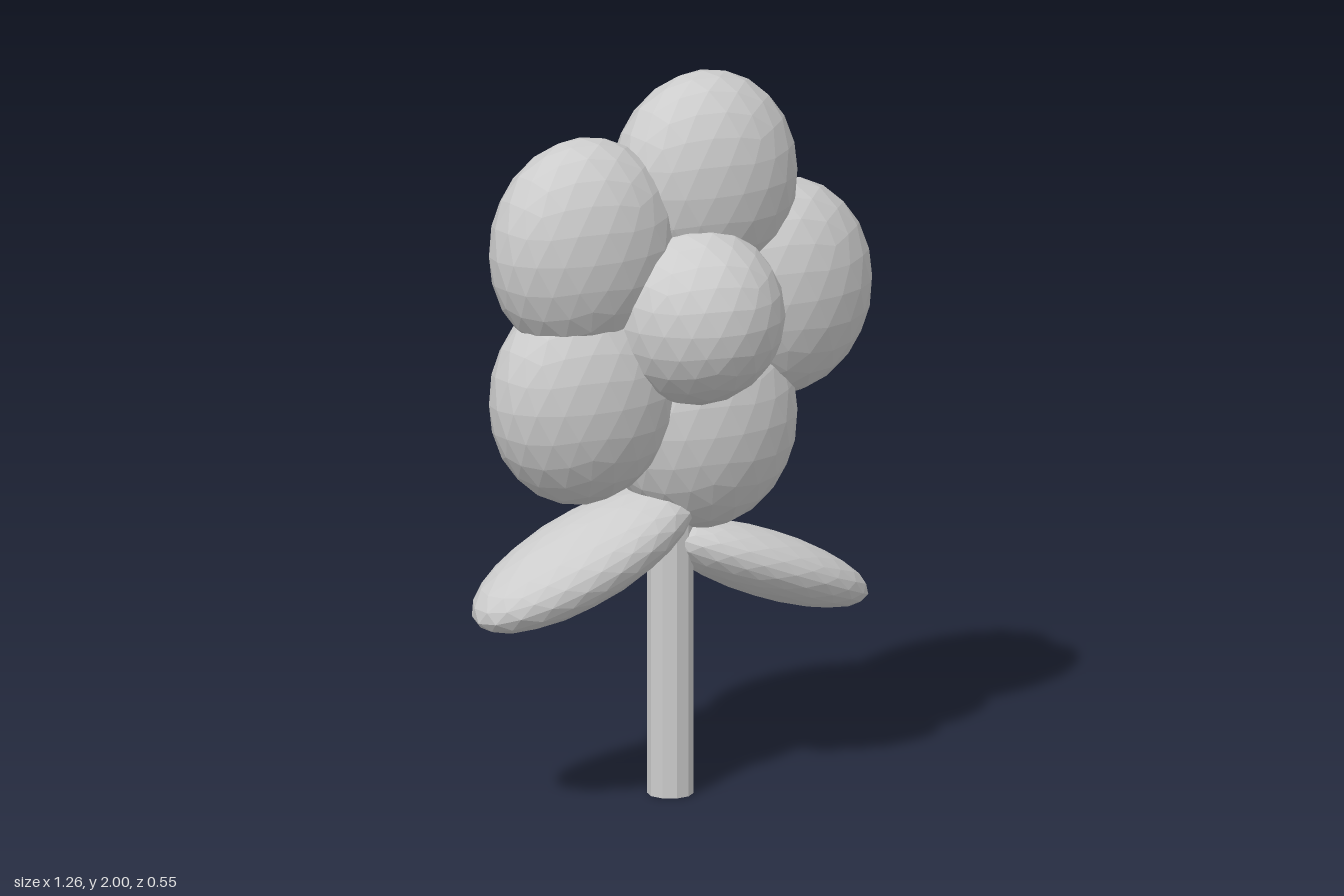
import * as THREE from 'three';

export function createModel() {
  const flower = new THREE.Group();
  flower.name = 'flower';
  const grey = new THREE.MeshStandardMaterial({ color: 0xcccccc });
  grey.name = 'pale grey';
  grey.flatShading = true;

  const cx = -0.005, cy = 1.363, cz = -0.087; // middle of the petal ring

  // Faceted ball with a vertex at its top, stretched and tilted
  const ball = new THREE.IcosahedronGeometry(1, 3);
  ball.rotateZ(-Math.atan(2 / (1 + Math.sqrt(5))));
  function blob(name, position, scale, tilt = 0) {
    const mesh = new THREE.Mesh(ball, grey);
    mesh.name = name;
    mesh.position.set(...position);
    mesh.scale.set(...scale);
    mesh.rotation.z = THREE.MathUtils.degToRad(tilt);
    flower.add(mesh);
  }

  // Five upright petals in a ring
  for (let i = 0; i < 5; i++) {
    const a = (i * Math.PI * 2) / 5;
    blob('petal' + (i + 1),
      [cx + 0.353 * Math.cos(a), cy + 0.353 * Math.sin(a), cz],
      [0.28, 0.302, 0.19]);
  }

  // Round centre, pushed forward
  blob('flowerCentre', [cx, cy, 0.03], [0.245, 0.245, 0.245]);

  // Drooping leaves
  blob('rightLeaf', [-0.29, 0.7, cz], [0.365, 0.11, 0.183], 21);
  blob('leftLeaf', [0.3, 0.595, cz], [0.35, 0.092, 0.158], -22);

  // Ten-sided stem
  const stemGeometry = new THREE.CylinderGeometry(0.063, 0.063, 0.85, 10);
  stemGeometry.rotateY(Math.PI / 2);
  const stem = new THREE.Mesh(stemGeometry, grey);
  stem.name = 'stem';
  stem.position.set(cx, 0.425, cz);
  flower.add(stem);

  return flower;
}
